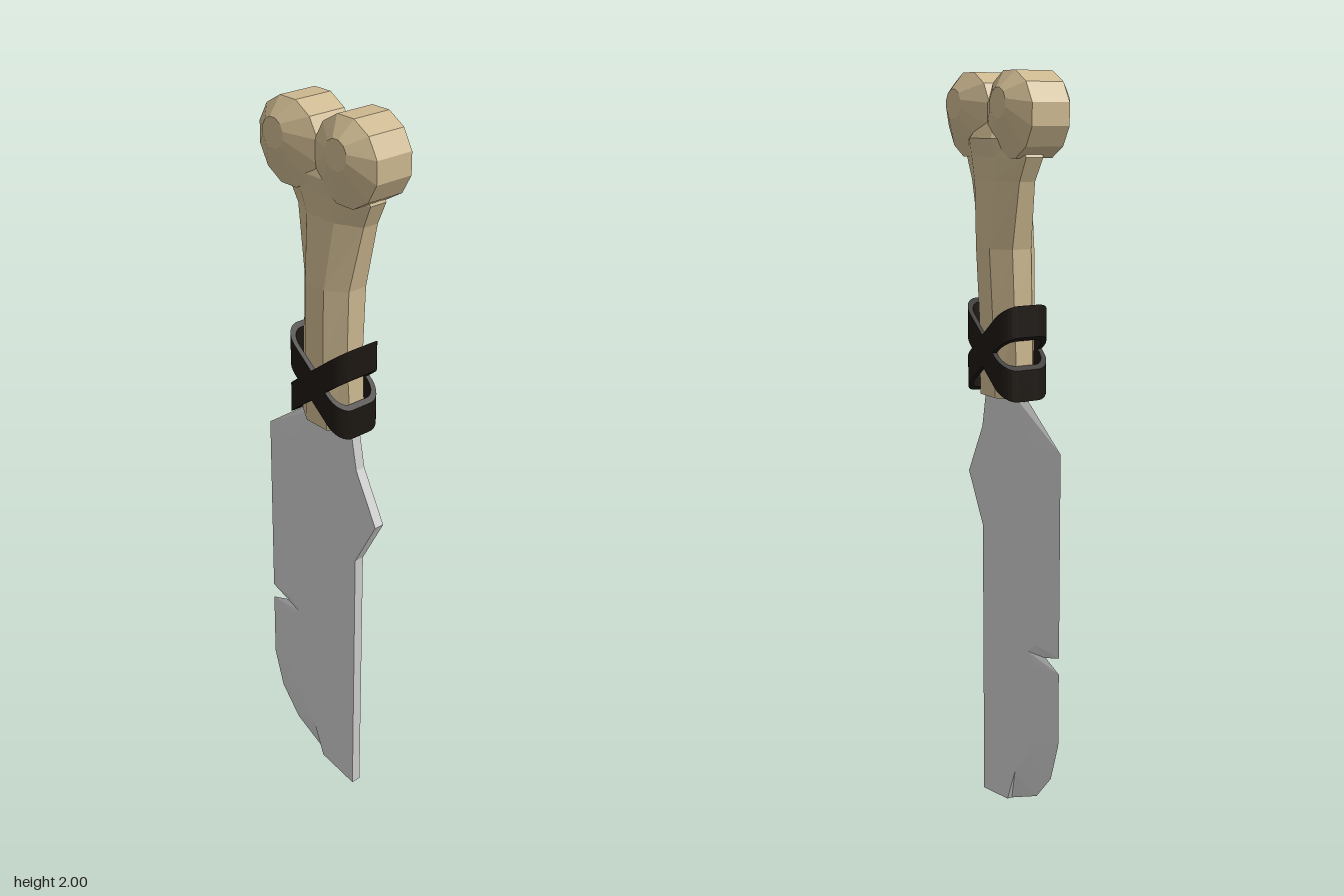
import * as THREE from 'three';

const mat = (color, extra = {}) => new THREE.MeshStandardMaterial({ color, flatShading: true, ...extra });
const bone = mat(0xcbb78f);
const strap = mat(0x1c1712);
const steel = mat(0xcccccc);
const CX = 0.022; // centre line of the handle

function part(name, geometry, material) {
  const mesh = new THREE.Mesh(geometry, material);
  mesh.name = name;
  return mesh;
}

// Flat-shaded triangles from a list of corner points
function facets(points) {
  const g = new THREE.BufferGeometry().setFromPoints(points);
  g.computeVertexNormals();
  return g;
}

// Skin over closed rings of equal count, with both ends capped
function loft(rings) {
  const out = [];
  const n = rings[0].length;
  const middle = (r) => r.reduce((s, p) => s.add(p), new THREE.Vector3()).divideScalar(n);
  const first = rings[0], last = rings[rings.length - 1];
  const c0 = middle(first), c1 = middle(last);
  for (let j = 0; j < n; j++) {
    const k = (j + 1) % n;
    for (let i = 0; i < rings.length - 1; i++) {
      const a = rings[i], b = rings[i + 1];
      out.push(a[j], b[j], a[k], a[k], b[j], b[k]);
    }
    out.push(c0, first[j], first[k], c1, last[k], last[j]);
  }
  return facets(out);
}

// Bone shaft: octagonal sections [y, xMin, xMax, zMin, zMax]
function makeShaft() {
  const sections = [
    [1.175, -0.07, 0.115, -0.06, 0.055],
    [1.38, -0.06, 0.103, -0.065, 0.062],
    [1.56, -0.058, 0.105, -0.073, 0.062],
    [1.73, -0.095, 0.14, -0.068, 0.042],
    [1.79, -0.125, 0.168, -0.07, 0.05],
    [1.835, -0.105, 0.15, -0.08, 0.06],
    [1.89, -0.05, 0.094, -0.05, 0.035],
    [1.93, -0.03, 0.074, -0.043, 0.025],
  ];
  const grow = 1 / Math.cos(Math.PI / 8);
  return loft(sections.map(([y, x0, x1, z0, z1]) =>
    Array.from({ length: 8 }, (_, j) => {
      const a = (j + 0.5) * Math.PI / 4;
      return new THREE.Vector3(
        (x0 + x1) / 2 + Math.cos(a) * grow * (x1 - x0) / 2, y,
        (z0 + z1) / 2 + Math.sin(a) * grow * (z1 - z0) / 2);
    })));
}

// Rounded knob at the bone end: a short drum with tapered caps
function makeKnob(side) {
  const sections = [ // z, distance from centre line, y, radius
    [-0.095, 0.11, 1.92, 0.038],
    [-0.055, 0.1, 1.893, 0.109],
    [0.053, 0.1, 1.893, 0.109],
    [0.092, 0.11, 1.92, 0.038],
  ];
  return loft(sections.map(([z, d, y, r]) =>
    Array.from({ length: 12 }, (_, j) => {
      const a = -(j + 0.5) * Math.PI / 6;
      return new THREE.Vector3(CX + side * d + r * Math.cos(a), y + r * Math.sin(a), z);
    })));
}

// Rounded rectangle outline in x and z for the straps
function roundedRect(P, hx, hz, r) {
  const p = new P();
  const corners = [[1, 1], [-1, 1], [-1, -1], [1, -1]];
  corners.forEach(([sx, sz], i) =>
    p.absarc(sx * (hx - r), sz * (hz - r), r, i * Math.PI / 2, (i + 1) * Math.PI / 2, false));
  p.closePath();
  return p;
}

// Strap: a flat ring sheared so it climbs across the handle
function makeStrap(slope) {
  const shape = roundedRect(THREE.Shape, 0.107, 0.075, 0.045);
  shape.holes.push(roundedRect(THREE.Path, 0.094, 0.062, 0.034));
  const g = new THREE.ExtrudeGeometry(shape, { depth: 0.082, bevelEnabled: false, curveSegments: 4 });
  g.translate(0, 0, -0.041).rotateX(-Math.PI / 2);
  const p = g.attributes.position;
  for (let i = 0; i < p.count; i++) p.setY(i, p.getY(i) + slope * p.getX(i));
  g.translate(CX + 0.003, 1.296, 0);
  g.computeVertexNormals();
  return g;
}

// Cutting edge and the ridge where its bevel begins, from top to tip
const edge = [[-0.07, 1.18], [-0.235, 1.06], [-0.235, 0.9], [-0.235, 0.515], [-0.172, 0.495],
  [-0.235, 0.47], [-0.235, 0.27], [-0.2, 0.16], [-0.13, 0.08], [0, 0.02]];
const ridge = [[-0.035, 1.18], [-0.125, 1.06], [-0.14, 0.9], [-0.14, 0.525], [-0.105, 0.495],
  [-0.14, 0.47], [-0.14, 0.27], [-0.11, 0.2], [-0.04, 0.12], [0, 0.02]];
const spine = [[0.13, 0], [0.13, 0.79], [0.205, 0.93], [0.13, 1.07], [0.108, 1.18]];
const HALF = 0.014;

function makeBladeBody() {
  const shape = new THREE.Shape([...ridge, ...spine].map(([x, y]) => new THREE.Vector2(x, y)));
  return new THREE.ExtrudeGeometry(shape, { depth: HALF * 2, bevelEnabled: false }).translate(0, 0, -HALF);
}

function makeBladeBevel() {
  const v = ([x, y], z) => new THREE.Vector3(x, y, z);
  const out = [];
  for (let i = 0; i < edge.length - 1; i++) {
    const e0 = v(edge[i], 0), e1 = v(edge[i + 1], 0);
    const f0 = v(ridge[i], HALF), f1 = v(ridge[i + 1], HALF);
    const b0 = v(ridge[i], -HALF), b1 = v(ridge[i + 1], -HALF);
    out.push(e0, e1, f0, f0, e1, f1); // front
    out.push(e0, b0, e1, b0, b1, e1); // back
  }
  out.push(v(edge[0], 0), v(ridge[0], HALF), v(ridge[0], -HALF)); // top end
  return facets(out);
}

export function createModel() {
  const model = new THREE.Group();
  model.name = 'boneHandledCleaver';

  const handle = new THREE.Group();
  handle.name = 'boneHandle';
  handle.add(part('shaft', makeShaft(), bone));
  handle.add(part('leftKnob', makeKnob(1), bone), part('rightKnob', makeKnob(-1), bone));

  const straps = new THREE.Group();
  straps.name = 'crossedStraps';
  straps.add(part('fallingStrap', makeStrap(-0.78), strap), part('risingStrap', makeStrap(0.78), strap));

  const blade = new THREE.Group();
  blade.name = 'blade';
  blade.add(part('bladeBody', makeBladeBody(), steel), part('bladeBevel', makeBladeBevel(), steel));

  model.add(handle, straps, blade);
  return model;
}
